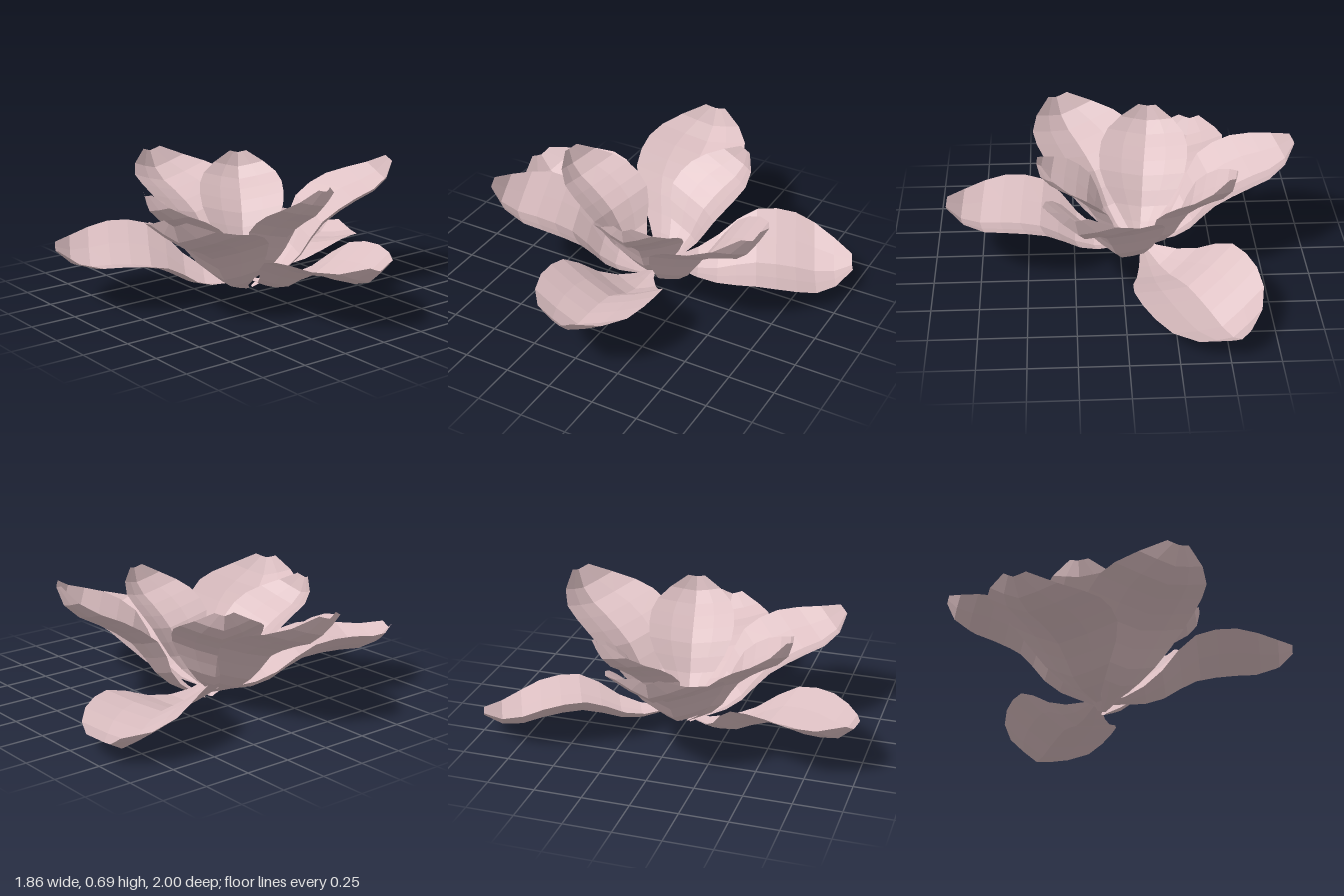
import * as THREE from 'three';

// One petal, one unit long from its base at the origin to its tip on +z, cupped towards +y
const OUTLINE = [0.05, 0.17, 0.38, 0.6, 0.82, 0.96, 1, 0.98, 0.87, 0.6, 0.2];
const HALF_WIDTH = 0.292;
const CUP = 0.123;
const COLUMNS = 5;
const CREASE = new THREE.CatmullRomCurve3(
  [[0, 0], [0.249, -0.054], [0.5, 0], [0.717, -0.029], [0.874, -0.061], [1, 0]]
    .map(([z, y]) => new THREE.Vector3(0, y, z)),
);

function petalGeometry() {
  const positions = [];
  const index = [];
  OUTLINE.forEach((w, i) => {
    const centre = CREASE.getPointAt(i / (OUTLINE.length - 1));
    for (let j = 0; j < COLUMNS; j++) {
      const u = (2 * j) / (COLUMNS - 1) - 1;
      positions.push(u * w * HALF_WIDTH, centre.y + CUP * w * Math.abs(u) ** 1.2, centre.z);
      if (i > 0 && j > 0) {
        const d = i * COLUMNS + j;
        const b = d - COLUMNS;
        index.push(b - 1, d - 1, b, b, d - 1, d);
      }
    }
  });
  const geometry = new THREE.BufferGeometry();
  geometry.setAttribute('position', new THREE.Float32BufferAttribute(positions, 3));
  geometry.setIndex(index);
  geometry.computeVertexNormals();
  return geometry;
}

export function createModel() {
  const petalPink = new THREE.MeshStandardMaterial({ color: 0xdcbfc2, flatShading: true, side: THREE.DoubleSide });
  petalPink.name = 'petalPink';
  const geometry = petalGeometry();
  const flower = new THREE.Group();
  flower.name = 'flower';

  // Lays a petal from its base to its tip; roll lifts its left rim
  function addPetal(name, base, tip, roll = 0) {
    const petal = new THREE.Mesh(geometry, petalPink);
    petal.name = name;
    petal.position.set(...base);
    const reach = new THREE.Vector3(...tip).sub(petal.position);
    const pitch = Math.atan2(reach.y, Math.hypot(reach.x, reach.z));
    petal.rotation.set(-pitch, Math.atan2(reach.x, reach.z), roll, 'YXZ');
    petal.scale.setScalar(reach.length());
    flower.add(petal);
  }

  // Low, spreading petals
  addPetal('lowPetalBackRight', [-0.1, 0.11, -0.02], [-0.55, 0.13, -0.97], 0.2);
  addPetal('lowPetalFrontRight', [-0.1, 0.05, 0.02], [-0.46, 0.31, 0.98], -0.15);
  addPetal('lowPetalLeft', [-0.07, 0.06, 0], [0.93, 0.35, -0.03]);

  // Tall outer petals
  addPetal('outerPetalRight', [-0.12, 0.05, 0.01], [-0.93, 0.64, 0.07]);
  addPetal('outerPetalBackLeft', [-0.08, 0.01, -0.02], [0.25, 0.68, -0.73]);
  addPetal('outerPetalFrontLeft', [-0.08, 0.01, 0.02], [0.33, 0.58, 0.77]);

  // Small inner petals
  addPetal('innerPetalBackRight', [-0.12, 0.05, -0.01], [-0.58, 0.64, -0.3]);
  addPetal('innerPetalLeft', [-0.08, 0.05, 0], [0.44, 0.64, -0.1]);
  addPetal('innerPetalFront', [-0.1, 0.02, 0.01], [-0.18, 0.6, 0.6]);

  return flower;
}
